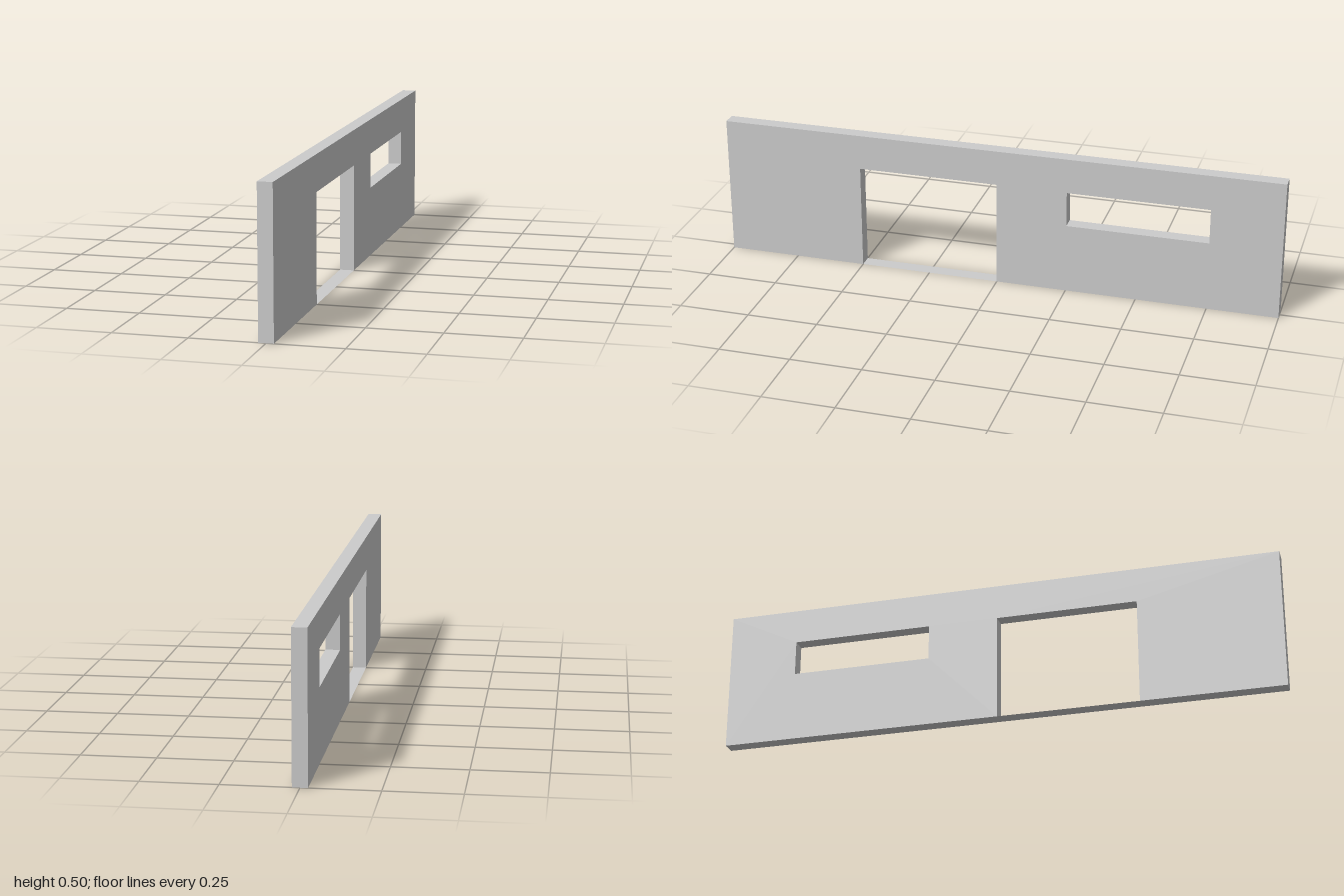
import * as THREE from 'three';

const LENGTH = 2, HEIGHT = 0.5, THICKNESS = 0.05;
const DOOR = { z0: 0, z1: 0.5, top: 0.375 };
const WINDOW = { z0: -0.75, z1: -0.25, bottom: 0.25, top: 0.375 };

export function createModel() {
  const group = new THREE.Group();
  group.name = 'wallPanel';
  const material = new THREE.MeshStandardMaterial({ color: 0xcccccc, flatShading: true });

  // Wall outline (z, y) with the doorway notched into its lower edge
  const h = LENGTH / 2;
  const outline = new THREE.Shape([
    [-h, 0], [DOOR.z0, 0], [DOOR.z0, DOOR.top], [DOOR.z1, DOOR.top],
    [DOOR.z1, 0], [h, 0], [h, HEIGHT], [-h, HEIGHT],
  ].map(([z, y]) => new THREE.Vector2(z, y)));

  // Window opening
  outline.holes.push(new THREE.Path([
    [WINDOW.z0, WINDOW.bottom], [WINDOW.z0, WINDOW.top],
    [WINDOW.z1, WINDOW.top], [WINDOW.z1, WINDOW.bottom],
  ].map(([z, y]) => new THREE.Vector2(z, y))));

  // Extrude through the thickness and turn the length along z
  const wallGeometry = new THREE.ExtrudeGeometry(outline, { depth: THICKNESS, bevelEnabled: false });
  wallGeometry.translate(0, 0, -THICKNESS / 2).rotateY(-Math.PI / 2);
  const wall = new THREE.Mesh(wallGeometry, material);
  wall.name = 'wall';
  group.add(wall);

  // Paper-thin threshold across the foot of the doorway
  const sillMaterial = material.clone();
  sillMaterial.side = THREE.DoubleSide;
  const sillGeometry = new THREE.PlaneGeometry(THICKNESS, DOOR.z1 - DOOR.z0).rotateX(-Math.PI / 2);
  const sill = new THREE.Mesh(sillGeometry, sillMaterial);
  sill.name = 'doorThreshold';
  sill.position.z = (DOOR.z0 + DOOR.z1) / 2;
  group.add(sill);

  return group;
}
